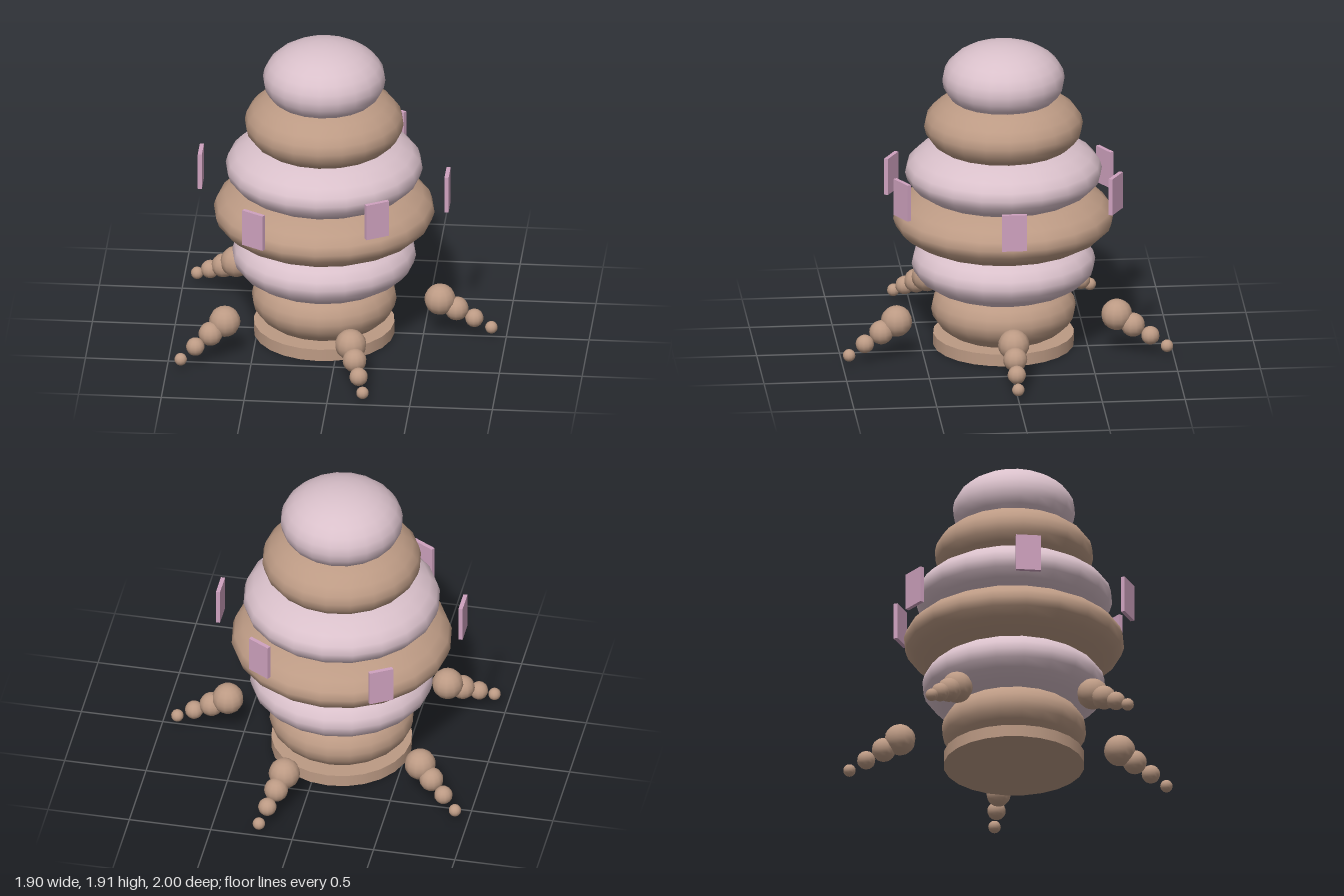
import * as THREE from 'three';

const AXIS_X = -0.1; // the body's axis sits slightly to one side

const mat = (name, color) => {
  const m = new THREE.MeshStandardMaterial({ color });
  m.name = name;
  return m;
};

export function createModel() {
  const brown = mat('clay brown', 0xbc9a84);
  const pink = mat('pale pink', 0xd9c0ca);
  const mauve = mat('mauve', 0xcfa2bf);

  const model = new THREE.Group();
  model.name = 'tieredTower';
  const body = new THREE.Group();
  body.name = 'body';
  body.position.x = AXIS_X;
  model.add(body);

  const add = (parent, name, geometry, material, x, y, z) => {
    const mesh = new THREE.Mesh(geometry, material);
    mesh.name = name;
    mesh.position.set(x, y, z);
    parent.add(mesh);
    return mesh;
  };

  // Flat round foot
  add(body, 'base', new THREE.CylinderGeometry(0.425, 0.425, 0.075, 24), brown, 0, 0.0375, 0);

  // Stacked flattened spheres, alternating in colour
  [0.437, 0.555, 0.667, 0.595, 0.48, 0.37].forEach((radius, i) => {
    const tier = new THREE.SphereGeometry(1, 20, 14).scale(radius, 0.225, radius);
    add(body, `tier${i + 1}`, tier, i % 2 ? pink : brown, 0, 0.235 + i * 0.291, 0);
  });

  // Five legs of shrinking balls: [distance from axis, height, radius]
  const balls = [[0.7, 0.237, 0.095], [0.8, 0.179, 0.073], [0.907, 0.12, 0.056], [1.01, 0.061, 0.038]];
  for (let i = 0; i < 5; i++) {
    const leg = new THREE.Group();
    leg.name = `leg${i + 1}`;
    leg.rotation.y = (i * Math.PI * 2) / 5;
    for (const [x, y, r] of balls) {
      add(leg, 'legBall', new THREE.SphereGeometry(r, 12, 10), brown, x, y, 0);
    }
    body.add(leg);
  }

  // Six floating panels around the waist at two alternating heights
  const panel = new THREE.BoxGeometry(0.025, 0.23, 0.15);
  for (let i = 0; i < 6; i++) {
    const arm = new THREE.Group();
    arm.name = `panel${i + 1}`;
    arm.rotation.y = (i * Math.PI) / 3;
    add(arm, 'panelPlate', panel, mauve, 0.745, i % 2 ? 1.068 : 0.971, 0);
    body.add(arm);
  }

  return model;
}
